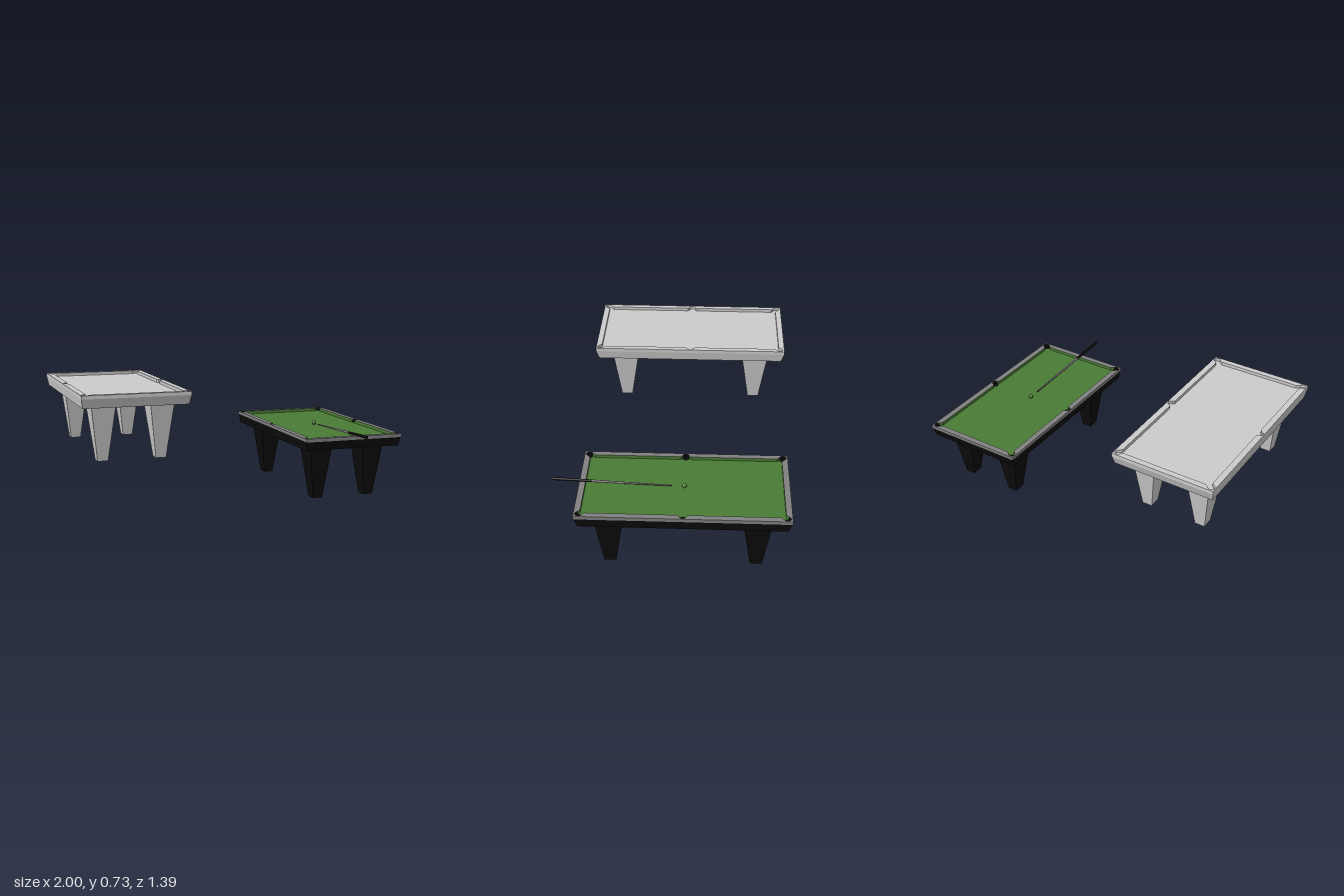
import * as THREE from 'three';

const mat = (name, color, side = THREE.FrontSide) => {
  const m = new THREE.MeshStandardMaterial({ color, side });
  m.name = name;
  return m;
};

function add(parent, name, geometry, material, x = 0, y = 0, z = 0) {
  const mesh = new THREE.Mesh(geometry, material);
  mesh.name = name;
  mesh.position.set(x, y, z);
  parent.add(mesh);
  return mesh;
}

// box standing on y = 0 with different half sizes at top and bottom
function taperedBox(topX, topZ, bottomX, bottomZ, height) {
  const g = new THREE.BoxGeometry(2, height, 2).translate(0, height / 2, 0);
  const p = g.attributes.position;
  for (let i = 0; i < p.count; i++) {
    const top = p.getY(i) > height / 2;
    p.setX(i, p.getX(i) * (top ? topX : bottomX));
    p.setZ(i, p.getZ(i) * (top ? topZ : bottomZ));
  }
  g.computeVertexNormals();
  return g;
}

const HALF_X = 0.32, HALF_Z = 0.614;      // outer rail
const IN_X = 0.284, IN_Z = 0.578;         // opening
const POCKET_X = 0.294, POCKET_Z = 0.585, POCKET_R = 0.02;
// pockets in counter-clockwise order: sign of x, sign of z
const POCKETS = [[1, 0], [1, 1], [-1, 1], [-1, 0], [-1, -1], [1, -1]];

const rectangle = (x, y) => [[-x, -y], [x, -y], [x, y], [-x, y]].map(([a, b]) => new THREE.Vector2(a, b));

// outline of the opening with flared jaws and round pockets
function openingPoints() {
  const points = [];
  for (const [sx, sz] of POCKETS) {
    const reach = THREE.MathUtils.degToRad(sz ? 115 : 90);
    const middle = Math.atan2(sz, sx);
    let jaws;
    if (sz) {
      jaws = [[sx * IN_X, sz * 0.55], [sx * 0.256, sz * IN_Z]];
      if (sx * sz < 0) jaws.reverse();
    } else {
      jaws = [[sx * IN_X, -sx * 0.032], [sx * IN_X, sx * 0.032]];
    }
    points.push(new THREE.Vector2(...jaws[0]));
    for (let i = 0; i <= 12; i++) {
      const a = middle + reach * (i / 6 - 1);
      points.push(new THREE.Vector2(
        sx * POCKET_X + POCKET_R * Math.cos(a),
        sz * POCKET_Z + POCKET_R * Math.sin(a)));
    }
    points.push(new THREE.Vector2(...jaws[1]));
  }
  return points;
}

// flat frame lying in the xz plane
function frame(outer, inner, height) {
  const shape = new THREE.Shape(outer);
  shape.holes.push(new THREE.Path(inner));
  return new THREE.ExtrudeGeometry(shape, { depth: height, bevelEnabled: false }).rotateX(-Math.PI / 2);
}

function makeTable(name, m) {
  const table = new THREE.Group();
  table.name = name;

  // tapered legs with plain feet
  const legGeometry = taperedBox(0.072, 0.086, 0.031, 0.035, 0.332);
  const sides = [m.body, m.body, m.body, m.under, m.body, m.body];
  for (const x of [-0.174, 0.174]) {
    for (const z of [-0.426, 0.426]) add(table, 'leg', legGeometry, sides, x, 0, z);
  }

  // apron below the rail
  add(table, 'apron', taperedBox(m.apronX, m.apronZ, 0.311, 0.594, 0.055), sides, 0, 0.33, 0);

  // rail: outer edge strip plus inner cushion frame
  const seam = rectangle(0.317, 0.61);
  add(table, 'railEdge', frame(rectangle(HALF_X, HALF_Z), seam, 0.021), m.rail, 0, 0.385, 0);
  add(table, 'cushionRail', frame(seam, openingPoints(), 0.021), [m.rail, m.cloth], 0, 0.385, 0);

  // playing surface
  add(table, 'playingSurface', new THREE.BoxGeometry(0.632, 0.003, 1.216), m.cloth, 0, 0.3845, 0);

  // pockets: dark floor and curved lining
  for (const [sx, sz] of POCKETS) {
    const reach = THREE.MathUtils.degToRad(sz ? 115 : 90);
    const x = sx * POCKET_X, z = sz * POCKET_Z;
    add(table, 'pocketFloor', new THREE.CircleGeometry(POCKET_R, 24).rotateX(-Math.PI / 2), m.pocket, x, 0.3875, z);
    add(table, 'pocketLining', new THREE.CylinderGeometry(0.0193, 0.0193, 0.02, 16, 1, true,
      Math.atan2(sx, sz) - reach, reach * 2), m.pocket, x, 0.3965, z);
  }
  return table;
}

// cue pieces lie along one sloping line, addressed by z
function cuePiece(parent, name, z0, r0, z1, r1, material) {
  const at = z => new THREE.Vector3(0.677, 0.398 + 0.043 * z, z);
  const a = at(z0), b = at(z1);
  const mesh = add(parent, name, new THREE.CylinderGeometry(r1, r0, a.distanceTo(b), 16), material);
  mesh.position.copy(a).add(b).multiplyScalar(0.5);
  mesh.quaternion.setFromUnitVectors(new THREE.Vector3(0, 1, 0), b.clone().sub(a).normalize());
}

export function createModel() {
  const model = new THREE.Group();
  model.name = 'poolTables';

  const black = mat('black', 0x0b0b0b, THREE.DoubleSide);
  const grey = mat('railGrey', 0x808080);
  const green = mat('clothGreen', 0x4a7c35);
  const pale = mat('paleGrey', 0xcccccc, THREE.DoubleSide);
  const shaft = mat('shaftGrey', 0x7d747c);

  // finished table
  const finished = makeTable('greenTable', {
    body: black, under: grey, rail: grey, cloth: green, pocket: black, apronX: 0.316, apronZ: 0.61,
  });
  finished.position.set(0.679, 0, -0.083);

  // plain raised table
  const plain = makeTable('plainTable', {
    body: pale, under: pale, rail: pale, cloth: pale, pocket: pale, apronX: 0.32, apronZ: 0.614,
  });
  plain.position.set(-0.68, 0.32, -0.083);
  model.add(finished, plain);

  // ball at the table centre
  add(model, 'ball', new THREE.SphereGeometry(0.014, 24, 16), green, 0.677, 0.4, -0.083);

  // cue resting across the front rail
  const cue = new THREE.Group();
  cue.name = 'cue';
  cuePiece(cue, 'cueTip', -0.012, 0.0035, 0, 0.004, black);
  cuePiece(cue, 'cueShaft', 0, 0.004, 0.455, 0.0075, shaft);
  cuePiece(cue, 'cueButt', 0.455, 0.0078, 0.697, 0.0095, black);
  model.add(cue);

  return model;
}
